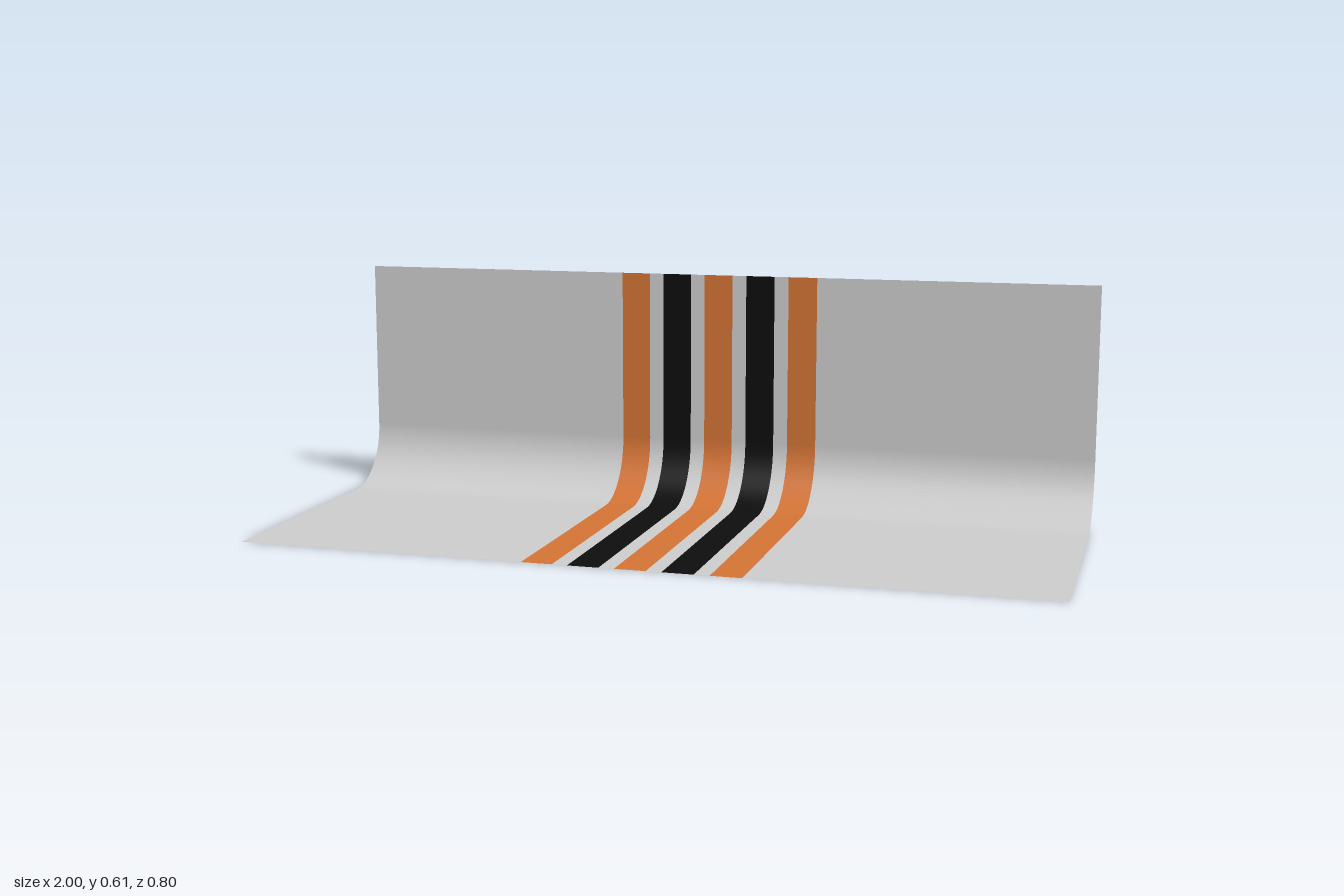
import * as THREE from 'three';

const HEIGHT = 0.61, FRONT = 0.4, BACK = -0.4, RADIUS = 0.16, ARC_STEPS = 24;

// Side profile of the sheet: floor, rounded bend, upright wall, with smooth normals
function sheetProfile() {
  const points = [{ z: FRONT, y: 0, nz: 0, ny: 1 }];
  for (let i = 0; i <= ARC_STEPS; i++) {
    const a = (i / ARC_STEPS) * Math.PI / 2;
    const nz = Math.sin(a), ny = Math.cos(a);
    points.push({ z: BACK + RADIUS * (1 - nz), y: RADIUS * (1 - ny), nz, ny });
  }
  points.push({ z: BACK, y: HEIGHT, nz: 1, ny: 0 });
  return points;
}

// One band of the sheet between two x positions
function bandGeometry(x0, x1) {
  const position = [], normal = [], index = [];
  sheetProfile().forEach((p, i) => {
    position.push(x0, p.y, p.z, x1, p.y, p.z);
    normal.push(0, p.ny, p.nz, 0, p.ny, p.nz);
    if (i > 0) {
      const a = 2 * (i - 1);
      index.push(a, a + 1, a + 3, a, a + 3, a + 2);
    }
  });
  const geometry = new THREE.BufferGeometry();
  geometry.setAttribute('position', new THREE.Float32BufferAttribute(position, 3));
  geometry.setAttribute('normal', new THREE.Float32BufferAttribute(normal, 3));
  geometry.setIndex(index);
  return geometry;
}

export function createModel() {
  const model = new THREE.Group();
  model.name = 'stripedBackdrop';
  const material = (color) => new THREE.MeshStandardMaterial({ color, side: THREE.DoubleSide });
  const grey = material(0xcccccc), orange = material(0xd37335), black = material(0x0d0d0d);

  const addBand = (name, x0, x1, mat) => {
    const mesh = new THREE.Mesh(bandGeometry(x0, x1), mat);
    mesh.name = name;
    model.add(mesh);
  };

  // Alternating stripes with the grey sheet filling the space before each one
  const pitch = 0.115, width = 0.077;
  let edge = -1;
  for (let i = -2; i <= 2; i++) {
    const x0 = i * pitch - width / 2, x1 = x0 + width;
    const isOrange = i % 2 === 0;
    addBand('sheetPanel', edge, x0, grey);
    addBand(isOrange ? 'orangeStripe' : 'blackStripe', x0, x1, isOrange ? orange : black);
    edge = x1;
  }
  addBand('sheetPanel', edge, 1, grey);

  return model;
}
